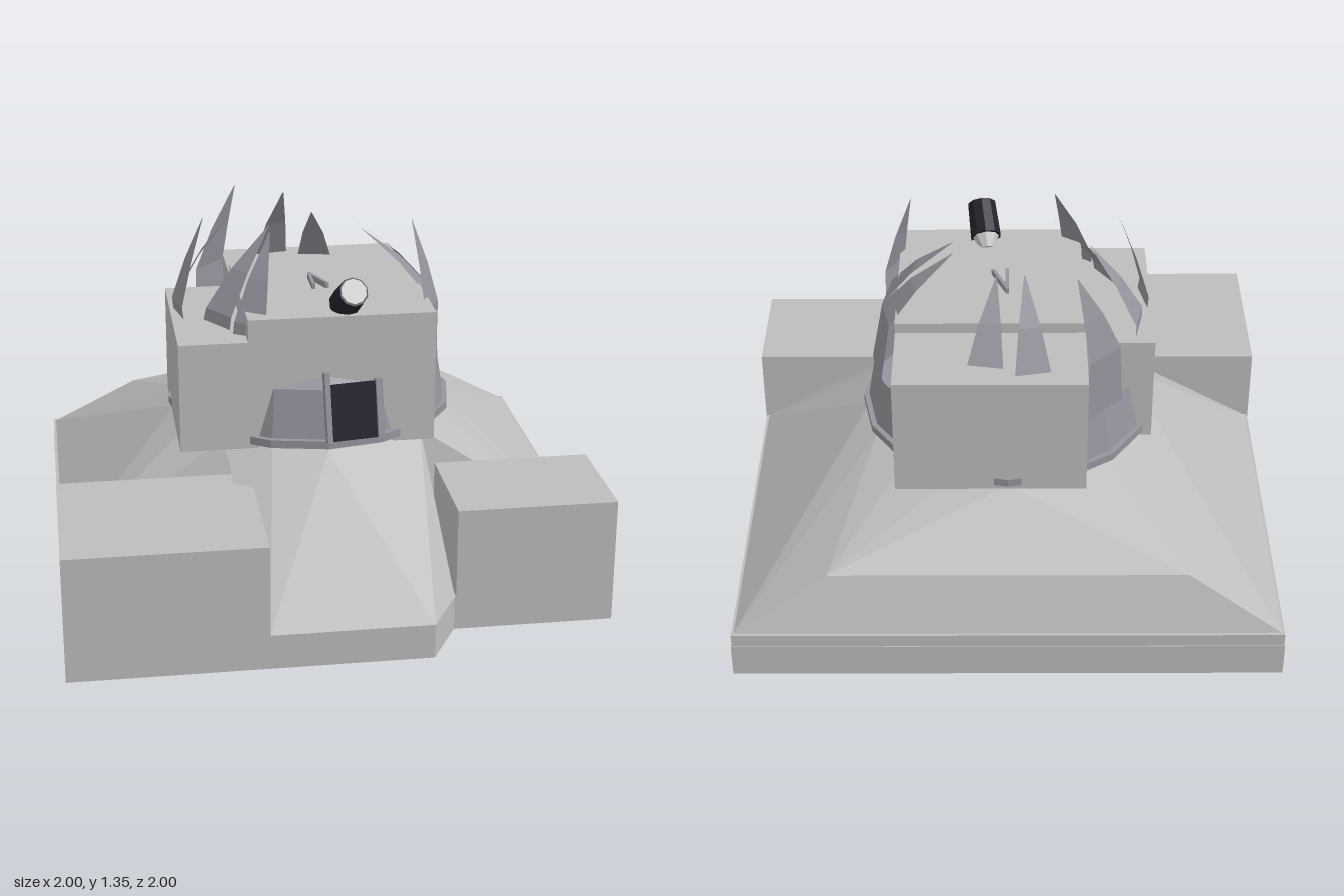
import * as THREE from 'three';
import { ConvexGeometry } from 'three/addons/geometries/ConvexGeometry.js';

export function createModel() {
  const model = new THREE.Group();
  model.name = 'crownedBunker';
  const mat = (name, color, opts = {}) =>
    Object.assign(new THREE.MeshStandardMaterial({ color, flatShading: true, ...opts }), { name });
  const concrete = mat('concrete', 0xbcbcbc);
  const slate = mat('slate', 0x93949d, { side: THREE.DoubleSide });
  const dark = mat('darkMetal', 0x22222e);
  const pale = mat('paleMetal', 0xc9c9c9);

  const add = (name, geometry, material, parent = model) => {
    const mesh = new THREE.Mesh(geometry, material);
    mesh.name = name;
    parent.add(mesh);
    return mesh;
  };
  // Box given by its limits on each axis
  const block = (name, x0, x1, y0, y1, z0, z1, material = concrete) =>
    add(name, new THREE.BoxGeometry(x1 - x0, y1 - y0, z1 - z0), material)
      .position.set((x0 + x1) / 2, (y0 + y1) / 2, (z0 + z1) / 2);
  const V = (x, y, z) => new THREE.Vector3(x, y, z);
  const CZ = -0.1; // z of the dome axis
  const SIDES = 16;

  // Base slab with the clipped front corner
  const plan = [[-1, 1], [0.3, 1], [0.41, 0.8], [1, 0.8], [1, -1], [-1, -1]];
  const slab = new THREE.ExtrudeGeometry(
    new THREE.Shape(plan.map(([x, z]) => new THREE.Vector2(x, -z))),
    { depth: 0.13, bevelEnabled: false });
  add('baseSlab', slab.rotateX(-Math.PI / 2), concrete);
  block('rearRim', -0.997, 0.997, 0.13, 0.18, -0.997, 0.36);

  // Corner blocks at the front
  block('rightFrontBlock', -1, -0.285, 0, 0.47, 0.36, 1);
  block('leftFrontBlock', 0.415, 1, 0, 0.47, 0.36, 0.8);

  // Faceted slopes rising from the slab to the dome's foot
  const foot = [];
  for (let i = 0; i < SIDES; i++) {
    const a = (i / SIDES) * Math.PI * 2;
    foot.push(V(0.53 * Math.sin(a), 0.575, CZ + 0.53 * Math.cos(a)));
  }
  const rear = foot.filter((p) => p.z < 0.33);
  for (const s of [-1, 1]) {
    rear.push(V(s * 0.99, 0.178, 0.355), V(s * 0.99, 0.178, -0.985), V(s * 0.65, 0.38, -0.9));
  }
  add('rearMound', new ConvexGeometry(rear), concrete);
  const front = foot.filter((p) => p.z > 0.2);
  front.push(V(-0.285, 0.13, 1), V(0.3, 0.13, 1), V(0.41, 0.13, 0.8),
    V(-0.285, 0.13, 0.3), V(0.41, 0.13, 0.3));
  add('frontRamp', new ConvexGeometry(front), concrete);

  // Upper blocks
  block('mainBlock', -0.285, 0.41, 0.57, 1.07, -0.31, 0.36);
  block('backBlock', -0.285, 0.41, 0.57, 1.03, -0.64, -0.31);
  block('sideBlock', -0.54, -0.285, 0.57, 0.985, -0.31, 0.36);

  // Dome: ledge, wall and the closed front hood
  const ring = (name, rTop, rBottom, y0, y1, material, open, start = 0, length = Math.PI * 2) => {
    const segments = Math.round((SIDES * length) / (Math.PI * 2));
    add(name, new THREE.CylinderGeometry(rTop, rBottom, y1 - y0, segments, 1, open, start, length),
      material).position.set(0, (y0 + y1) / 2, CZ);
  };
  ring('domeLedge', 0.55, 0.55, 0.587, 0.617, slate, false);
  ring('domeWall', 0.5, 0.53, 0.617, 0.8, slate, true);
  ring('frontHood', 0.4, 0.5, 0.8, 0.9, slate, true, -Math.PI / 4, Math.PI / 2);

  // Crown of inward-curling shards: [shoulder x, z, tip x, y, z, half width]
  const shards = [
    [0.45, -0.02, 0.2, 1.27, -0.07, 0.08],
    [0.45, -0.19, 0.2, 1.27, -0.15, 0.08],
    [0.43, 0.17, 0.36, 1.35, 0.11, 0.065],
    [0.08, -0.53, 0.04, 1.27, -0.31, 0.065],
    [-0.09, -0.575, -0.06, 1.33, -0.4, 0.065],
    [-0.35, -0.46, -0.245, 1.35, -0.46, 0.08],
    [-0.485, -0.2, -0.3, 1.31, -0.165, 0.07],
    [-0.515, 0, -0.41, 1.35, -0.02, 0.07],
    [-0.37, 0.14, -0.165, 1.32, 0.01, 0.075],
    [-0.27, 0.29, -0.18, 1.34, 0.16, 0.065],
  ];
  for (const [sx, sz, tx, ty, tz, half] of shards) {
    const out = V(sx, 0, sz - CZ).normalize();
    const side = V(out.z, 0, -out.x);
    const shoulder = V(sx, 1.03, sz);
    const tip = V(tx, ty, tz);
    const upper = shoulder.clone().lerp(tip, 0.42);
    upper.y += 0.02;
    const rows = [
      [V(out.x * 0.5, 0.79, CZ + out.z * 0.5), half * 1.25],
      [shoulder, half],
      [upper, half * 0.62],
      [tip, 0.002],
    ];
    const points = [];
    const index = [];
    rows.forEach(([p, w], i) => {
      for (const s of [-1, 1]) points.push(p.clone().addScaledVector(side, s * w));
      const k = i * 2;
      if (i < rows.length - 1) index.push(k, k + 1, k + 2, k + 1, k + 3, k + 2);
    });
    const geometry = new THREE.BufferGeometry().setFromPoints(points);
    geometry.setIndex(index);
    geometry.computeVertexNormals();
    add('crownShard', geometry, slate);
  }

  // Leaning doorway on the front of the dome
  const door = new THREE.Group();
  door.name = 'doorway';
  door.position.set(0.098, 0.617, 0.438);
  door.rotation.set(-0.19, 0.15, 0, 'YXZ');
  model.add(door);
  add('doorPanel', new THREE.BoxGeometry(0.19, 0.21, 0.02), dark, door).position.set(0, 0.105, 0);
  add('doorPostRight', new THREE.BoxGeometry(0.02, 0.26, 0.03), slate, door).position.set(-0.1, 0.13, 0.005);
  add('doorPostLeft', new THREE.BoxGeometry(0.025, 0.22, 0.03), slate, door).position.set(0.1, 0.11, 0.005);

  // Stubby barrel aimed up and forward from the roof
  const barrel = new THREE.Group();
  barrel.name = 'roofBarrel';
  barrel.position.set(0.09, 1.13, 0.33);
  barrel.rotation.set(0.95, 0, -0.12);
  model.add(barrel);
  add('barrelBody', new THREE.CylinderGeometry(0.055, 0.06, 0.14, 10), dark, barrel);
  add('barrelFace', new THREE.CylinderGeometry(0.048, 0.048, 0.006, 10), pale, barrel).position.y = 0.073;
  add('barrelNub', new THREE.CylinderGeometry(0.05, 0.025, 0.05, 8), pale, barrel).position.y = -0.095;

  // Small forked fin on the roof
  for (const [x, turn] of [[0, 0], [0.027, 0.38]]) {
    const fin = add('roofFin', new THREE.BoxGeometry(0.012, 0.025, 0.14), slate);
    fin.position.set(x, 1.08, -0.035);
    fin.rotation.y = turn;
  }
  return model;
}
